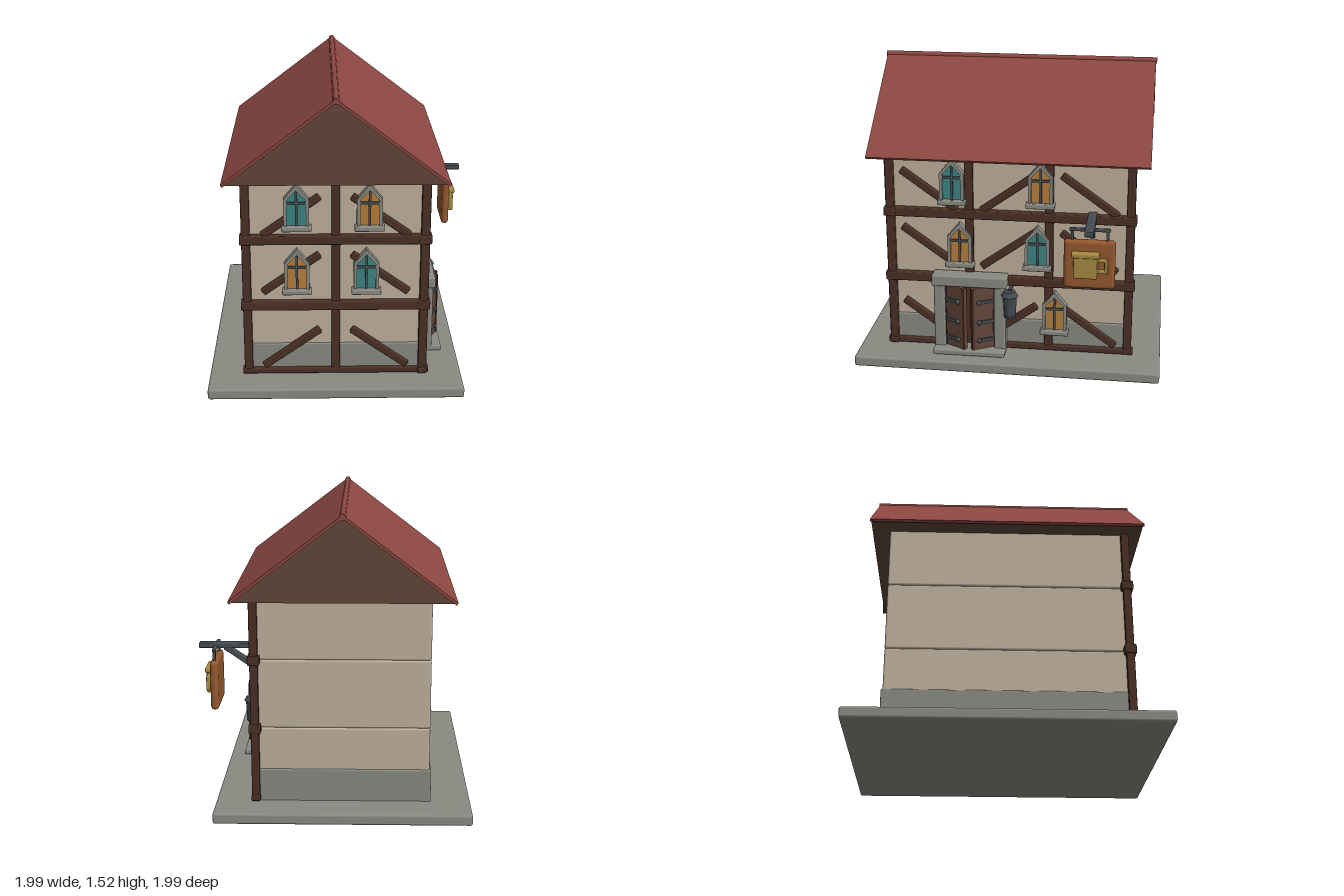
import * as THREE from 'three';
import { RoundedBoxGeometry } from 'three/addons/geometries/RoundedBoxGeometry.js';

const mat = (name, color) => Object.assign(new THREE.MeshStandardMaterial({ color }), { name });
const plaster = mat('plaster', 0xbfb09c);
const stone = mat('stone', 0x8a8a83);
const timber = mat('dark timber', 0x4a3026);
const tile = mat('roof red', 0x8c4741);
const board = mat('brown boards', 0x614639);
const teal = mat('teal glass', 0x3d8583);
const amber = mat('amber glass', 0xb57f3c);
const iron = mat('slate iron', 0x454c52);
const signWood = mat('sign wood', 0x95592f);
const gold = mat('dull gold', 0xa58a40);

function add(parent, name, geometry, material, x = 0, y = 0, z = 0) {
  const mesh = new THREE.Mesh(geometry, material);
  mesh.name = name;
  mesh.position.set(x, y, z);
  parent.add(mesh);
  return mesh;
}
const box = (p, name, m, w, h, d, x, y, z) => add(p, name, new THREE.BoxGeometry(w, h, d), m, x, y, z);
const soft = (p, name, m, w, h, d, x, y, z, r = 0.01) =>
  add(p, name, new RoundedBoxGeometry(w, h, d, 2, Math.min(r, w / 2.1, h / 2.1, d / 2.1)), m, x, y, z);

function group(parent, name, x = 0, y = 0, z = 0, ry = 0) {
  const g = new THREE.Group();
  g.name = name;
  g.position.set(x, y, z);
  g.rotation.y = ry;
  parent.add(g);
  return g;
}

// Bar between two points [x, y, z]
function bar(p, name, m, a, b, w, d) {
  const from = new THREE.Vector3(...a), to = new THREE.Vector3(...b);
  const mesh = soft(p, name, m, w, from.distanceTo(to), d, 0, 0, 0, 0.006);
  mesh.position.copy(from).add(to).multiplyScalar(0.5);
  mesh.quaternion.setFromUnitVectors(new THREE.Vector3(0, 1, 0), to.sub(from).normalize());
}

const housePoints = (half, bottom, shoulder, apex) => [
  [-half, bottom], [half, bottom], [half, shoulder], [0, apex], [-half, shoulder],
].map(([x, y]) => new THREE.Vector2(x, y));

// Pointed window standing on a sill
function addWindow(p, x, y, glass) {
  const g = group(p, 'window', x, y, 0);
  const frame = new THREE.Shape(housePoints(0.062, 0, 0.16, 0.235));
  frame.holes.push(new THREE.Path(housePoints(0.046, 0.02, 0.157, 0.206).reverse()));
  add(g, 'windowFrame', new THREE.ExtrudeGeometry(frame, { depth: 0.036, bevelEnabled: false }), stone);
  const pane = new THREE.Shape(housePoints(0.05, 0.01, 0.16, 0.21));
  add(g, 'windowPane', new THREE.ExtrudeGeometry(pane, { depth: 0.024, bevelEnabled: false }), glass);
  box(g, 'mullion', iron, 0.012, 0.18, 0.008, 0, 0.11, 0.028);
  box(g, 'transom', iron, 0.092, 0.012, 0.008, 0, 0.14, 0.028);
  soft(g, 'windowSill', stone, 0.146, 0.026, 0.05, 0, 0.012, 0.025, 0.006);
}

// Posts, floor beams and one brace per bay; the first brace falls or rises by sign
function addTimbers(p, half, bays, sign) {
  const width = (2 * half) / bays;
  for (let i = 0; i <= bays; i++)
    soft(p, 'post', timber, 0.042, 1.03, 0.04, -half + i * width, 0.575, 0, 0.006);
  for (const [y, h, d] of [[0.077, 0.03, 0.045], [0.44, 0.046, 0.06], [0.79, 0.046, 0.06]])
    soft(p, 'floorBeam', timber, 2 * half + 0.06, h, d, 0, y, 0, 0.006);
  for (const y of [0.205, 0.61, 0.91])
    for (let i = 0; i < bays; i++) {
      const x = -half + (i + 0.5) * width, s = i % 2 ? -sign : sign;
      bar(p, 'brace', timber, [x - 0.14, y + s * 0.1, 0.006], [x + 0.14, y - s * 0.1, 0.006], 0.036, 0.028);
    }
}

function addDoor(p) {
  const g = group(p, 'doorway', -0.197, 0.055, 0);
  box(g, 'doorRecess', timber, 0.28, 0.37, 0.02, 0, 0.185, 0.02);
  for (const s of [-1, 1]) {
    soft(g, 'doorJamb', stone, 0.058, 0.4, 0.075, s * 0.155, 0.2, 0.0375);
    // Leaf swung outward, with strap hinges
    const leaf = group(g, 'doorLeaf', s * 0.126, 0, 0.045, s * 0.5);
    const x = -s * 0.063;
    box(leaf, 'doorPanel', board, 0.126, 0.345, 0.02, x, 0.195, 0);
    for (const side of [-1, 1])
      box(leaf, 'doorStile', timber, 0.012, 0.345, 0.026, x + side * 0.057, 0.195, 0);
    for (const y of [0.08, 0.18, 0.29]) {
      box(leaf, 'strapHinge', iron, 0.085, 0.016, 0.01, -s * 0.05, y, 0.015);
      add(leaf, 'hingeKnob', new THREE.SphereGeometry(0.012, 10, 8), iron, -s * 0.09, y, 0.017);
    }
  }
  soft(g, 'doorLintel', stone, 0.385, 0.06, 0.085, 0, 0.393, 0.0425);
  soft(g, 'doorStep', stone, 0.37, 0.032, 0.125, 0, 0.014, 0.0625);
}

function addLantern(p) {
  const g = group(p, 'lantern', 0.012, 0.34, 0.075);
  add(g, 'lanternBody', new THREE.CylinderGeometry(0.036, 0.03, 0.11, 8), iron, 0, -0.01, 0);
  add(g, 'lanternCap', new THREE.CylinderGeometry(0.03, 0.045, 0.025, 8), iron, 0, 0.055, 0);
  add(g, 'lanternBase', new THREE.CylinderGeometry(0.034, 0.03, 0.014, 8), iron, 0, -0.068, 0);
  box(g, 'lanternArm', iron, 0.016, 0.016, 0.08, 0, 0.07, -0.04);
}

function addSign(p) {
  const g = group(p, 'hangingSign', 0.419, 0, 0);
  soft(g, 'signArm', iron, 0.045, 0.026, 0.29, 0, 0.813, 0.145, 0.005);
  bar(g, 'signStrut', iron, [0, 0.705, 0.015], [0, 0.805, 0.16], 0.03, 0.03);
  soft(g, 'signCrossbar', iron, 0.2, 0.016, 0.018, 0, 0.808, 0.205, 0.005);
  for (const s of [-1, 1])
    box(g, 'signHanger', iron, 0.014, 0.06, 0.014, s * 0.085, 0.78, 0.205);
  soft(g, 'signBoard', signWood, 0.25, 0.25, 0.04, 0, 0.632, 0.205, 0.018);
  // Raised mug
  soft(g, 'mugBody', gold, 0.115, 0.12, 0.034, -0.018, 0.63, 0.237, 0.008);
  soft(g, 'mugRim', gold, 0.135, 0.026, 0.042, -0.018, 0.69, 0.239, 0.008);
  for (const y of [0.607, 0.664])
    soft(g, 'mugHandle', gold, 0.055, 0.016, 0.024, 0.062, y, 0.237, 0.005);
  soft(g, 'mugHandle', gold, 0.016, 0.073, 0.024, 0.083, 0.6355, 0.237, 0.005);
}

function addRoof(p) {
  const g = group(p, 'roof');
  const L = 0.69, W = 0.53, eave = 1.093, ridge = 1.497;
  const gable = new THREE.Shape([[-W, eave], [W, eave], [0, ridge]].map((q) => new THREE.Vector2(...q)));
  const body = new THREE.ExtrudeGeometry(gable, { depth: 2 * L, bevelEnabled: false });
  body.translate(0, 0, -L).rotateY(Math.PI / 2);
  add(g, 'gableAndSoffit', body, board);
  const slope = Math.hypot(W, ridge - eave), angle = Math.atan2(ridge - eave, W);
  for (const s of [-1, 1]) {
    const slab = box(g, 'roofSlope', tile, 2 * L + 0.014, 0.014, slope + 0.016, 0, (eave + ridge) / 2 + 0.004, s * (W / 2 + 0.003));
    slab.rotation.x = s * angle;
  }
  const cap = add(g, 'ridgeCap', new THREE.CylinderGeometry(0.016, 0.016, 2 * L + 0.025, 8), tile, 0, 1.502, 0);
  cap.rotation.z = Math.PI / 2;
}

export function createModel() {
  const model = new THREE.Group();
  model.name = 'timberFramedInn';
  const house = group(model, 'house', 0, 0, 0, Math.PI / 4);

  // Ground slab, stone footing and plaster storeys
  soft(house, 'groundSlab', stone, 1.556, 0.056, 1.273, 0, 0.028, 0, 0.012);
  soft(house, 'stoneFooting', stone, 1.216, 0.18, 0.876, 0, 0.132, 0, 0.008);
  for (const [low, high] of [[0.2, 0.438], [0.438, 0.787], [0.787, 1.1]])
    soft(house, 'storeyWall', plaster, 1.2, high - low, 0.86, 0, (low + high) / 2, 0, 0.01);
  addRoof(house);

  // Long front wall
  const front = group(house, 'frontWall', 0, 0, 0.435);
  addTimbers(front, 0.608, 3, 1);
  for (const [x, y, glass] of [[-0.285, 0.843, teal], [0.16, 0.843, amber],
    [-0.25, 0.51, amber], [0.145, 0.51, teal], [0.235, 0.16, amber]])
    addWindow(front, x, y, glass);
  addDoor(front);
  addLantern(front);
  addSign(front);

  // Short gable wall
  const side = group(house, 'gableWall', -0.605, 0, 0, -Math.PI / 2);
  addTimbers(side, 0.438, 2, -1);
  for (const [x, y, glass] of [[-0.19, 0.843, teal], [0.163, 0.843, amber],
    [-0.19, 0.51, amber], [0.15, 0.51, teal]])
    addWindow(side, x, y, glass);

  return model;
}
